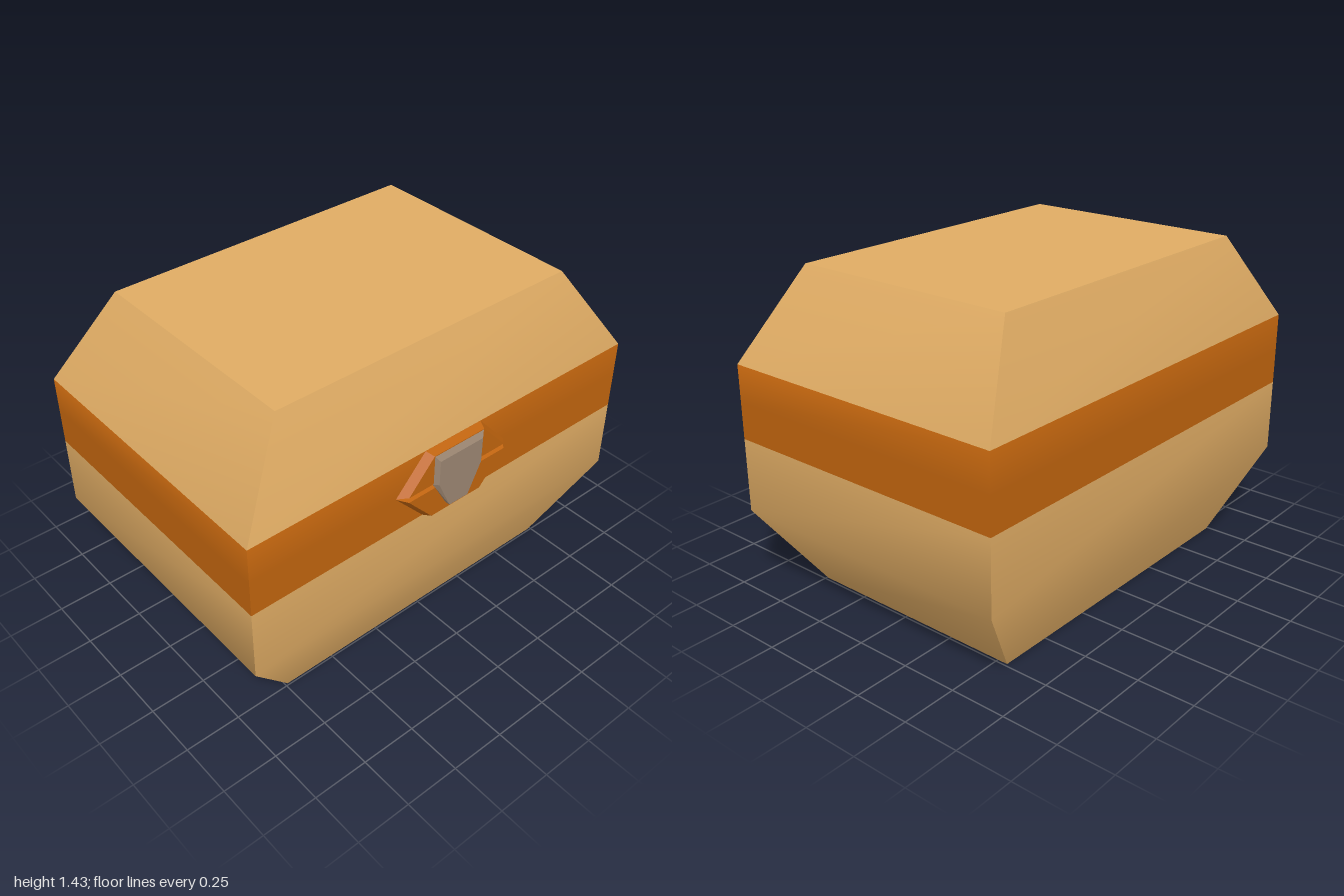
import * as THREE from 'three';

const TAN = 0xe0ac64, ORANGE = 0xc0640e, GREY = 0x9c8672;

function geometry(positions, index) {
  const g = new THREE.BufferGeometry();
  g.setAttribute('position', new THREE.Float32BufferAttribute(positions, 3));
  g.setIndex(index);
  return g;
}

function addMesh(parent, name, geo, color) {
  const mesh = new THREE.Mesh(geo, new THREE.MeshStandardMaterial({ color }));
  mesh.name = name;
  parent.add(mesh);
}

// Four corners of a level ring, counter-clockwise from above, starting front left
const corners = ([y, x0, x1, z]) => [[x0, y, z], [x1, y, z], [x1, y, -z], [x0, y, -z]];

// Walls through a stack of rings: smooth up each side, sharp at the corners.
// Returns one geometry for each storey between two rings.
function walls(rings) {
  const positions = [], storeys = rings.slice(1).map(() => []);
  for (let side = 0; side < 4; side++) {
    const base = side * rings.length * 2;
    rings.forEach((ring, i) => {
      const c = corners(ring);
      positions.push(...c[side], ...c[(side + 1) % 4]);
      if (i === 0) return;
      const a = base + (i - 1) * 2;
      storeys[i - 1].push(a, a + 1, a + 3, a, a + 3, a + 2);
    });
  }
  const whole = geometry(positions, storeys.flat());
  whole.computeVertexNormals();
  return storeys.map((index) => whole.clone().setIndex(index));
}

function cap(ring, up) {
  const g = geometry(corners(ring).flat(), up ? [0, 1, 2, 0, 2, 3] : [0, 2, 1, 0, 3, 2]);
  g.computeVertexNormals();
  return g;
}

// Bevelled plate facing +x; outlines are [z, y] points, counter-clockwise from outside
function plate(x0, back, x1, front) {
  const n = back.length, index = [];
  const positions = [...back.map(([z, y]) => [x0, y, z]), ...front.map(([z, y]) => [x1, y, z])].flat();
  for (let i = 0; i < n; i++) {
    const j = (i + 1) % n;
    index.push(i, j, n + j, i, n + j, n + i);
    if (i > 0 && i < n - 1) index.push(n, n + i, n + i + 1, 0, i + 1, i);
  }
  const g = geometry(positions, index).toNonIndexed();
  g.computeVertexNormals();
  return g;
}

export function createModel() {
  const model = new THREE.Group();
  model.name = 'chest';

  // Rings: [height, min x, max x, half depth]
  const ring = (y) => [y, -0.7, 0.648, 1];
  const floor = [0, -0.547, 0.492, 0.738];
  const roof = [1.43, -0.55, 0.495, 0.742];

  // Base with its rim band
  const base = new THREE.Group();
  base.name = 'base';
  const [slope, wall, rim] = walls([floor, ring(0.385), ring(0.713), ring(0.876)]);
  addMesh(base, 'baseSlope', slope, TAN);
  addMesh(base, 'baseWall', wall, TAN);
  addMesh(base, 'baseBand', rim, ORANGE);
  addMesh(base, 'floor', cap(floor, false), TAN);

  // Lid with its rim band
  const lid = new THREE.Group();
  lid.name = 'lid';
  const [lidRim, lidSlope] = walls([ring(0.876), ring(1.04), roof]);
  addMesh(lid, 'lidBand', lidRim, ORANGE);
  addMesh(lid, 'lidSlope', lidSlope, TAN);
  addMesh(lid, 'lidTop', cap(roof, true), TAN);

  // Lock: two mirrored bevelled plates and a clasp across them
  const lock = new THREE.Group();
  lock.name = 'lock';
  const mid = 0.876;
  const outline = (wide, narrow, low, high) => [[wide, mid + low], [-wide, mid + low], [-narrow, mid + high], [narrow, mid + high]];
  const flip = (pts) => pts.map(([z, y]) => [z, 2 * mid - y]).reverse();
  const back = outline(0.3, 0.15, 0, 0.164);
  const front = outline(0.262, 0.135, 0.012, 0.152);
  addMesh(lock, 'upperLockPlate', plate(0.645, back, 0.685, front), ORANGE);
  addMesh(lock, 'lowerLockPlate', plate(0.645, flip(back), 0.685, flip(front)), ORANGE);
  const clasp = (top, w, bend, bottom, b) => [[b, bottom], [-b, bottom], [-w, bend], [-w, top], [w, top], [w, bend]];
  addMesh(lock, 'clasp', plate(0.683, clasp(1.028, 0.135, 0.885, 0.755, 0.06),
    0.7, clasp(1, 0.115, 0.882, 0.745, 0.05)), GREY);

  model.add(base, lid, lock);
  return model;
}
